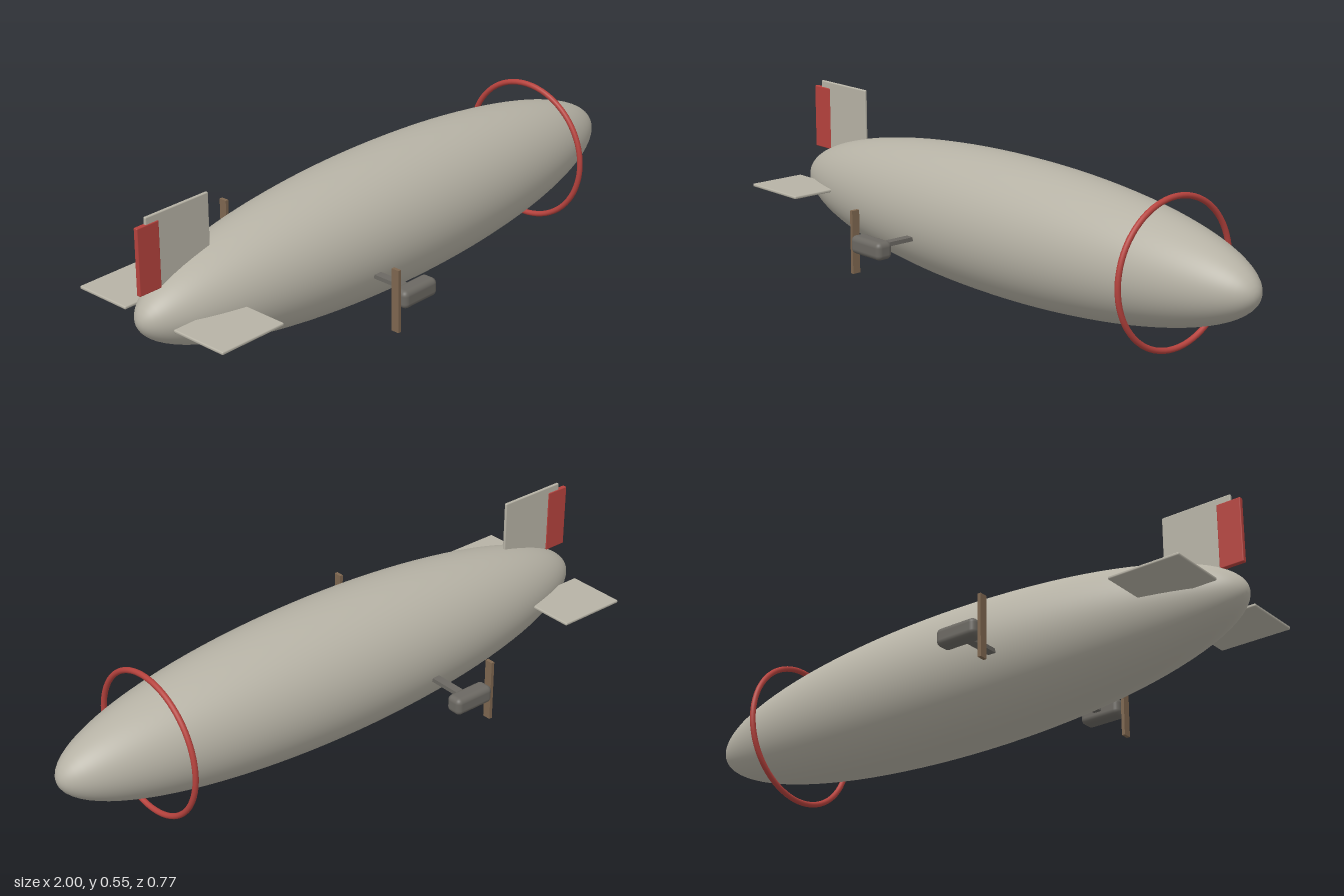
import * as THREE from 'three';
import { RoundedBoxGeometry } from 'three/addons/geometries/RoundedBoxGeometry.js';

const AXIS_Y = 0.24; // height of the hull's long axis

function material(name, color) {
  const m = new THREE.MeshStandardMaterial({ color });
  m.name = name;
  return m;
}

export function createModel() {
  const model = new THREE.Group();
  model.name = 'airship';

  const fabric = material('warm grey fabric', 0xb6b2a5);
  const red = material('signal red', 0xb5423d);
  const metal = material('dark grey metal', 0x6b6862);
  const wood = material('brown wood', 0x7d664f);

  function add(parent, name, geometry, mat, x, y, z) {
    const mesh = new THREE.Mesh(geometry, mat);
    mesh.name = name;
    mesh.position.set(x, y, z);
    parent.add(mesh);
    return mesh;
  }

  // Hull: long ellipsoid with its poles at nose and tail
  const hull = new THREE.SphereGeometry(1, 64, 48);
  hull.rotateZ(-Math.PI / 2);
  hull.scale(1, 0.22, 0.22);
  add(model, 'hull', hull, fabric, 0, AXIS_Y, 0);

  // Free-standing ring around the nose
  const ring = new THREE.TorusGeometry(0.226, 0.009, 16, 72);
  ring.rotateY(Math.PI / 2);
  add(model, 'noseRing', ring, red, 0.685, 0.238, 0);

  // Upright tail fin and its rudder
  add(model, 'tailFin', new RoundedBoxGeometry(0.235, 0.225, 0.01, 3, 0.004), fabric, -0.845, 0.441, 0);
  add(model, 'rudder', new RoundedBoxGeometry(0.08, 0.207, 0.015, 2, 0.003), red, -0.956, 0.428, 0);

  // Paired tailplanes and engine pods
  for (const side of [1, -1]) {
    const label = side > 0 ? 'front' : 'rear';
    add(model, label + 'Tailplane', new RoundedBoxGeometry(0.235, 0.01, 0.195, 3, 0.004), fabric,
      -0.845, AXIS_Y, side * 0.1975);

    const pod = new THREE.Group();
    pod.name = label + 'EnginePod';
    pod.position.set(-0.255, 0.186, side * 0.356);
    add(pod, 'strut', new THREE.BoxGeometry(0.027, 0.013, 0.18), metal, 0.003, 0.001, -side * 0.09);
    add(pod, 'engine', new RoundedBoxGeometry(0.142, 0.057, 0.057, 4, 0.017), metal, 0, 0, 0);
    add(pod, 'propeller', new THREE.BoxGeometry(0.011, 0.2, 0.027), wood, -0.08, 0.001, 0);
    model.add(pod);
  }

  return model;
}
